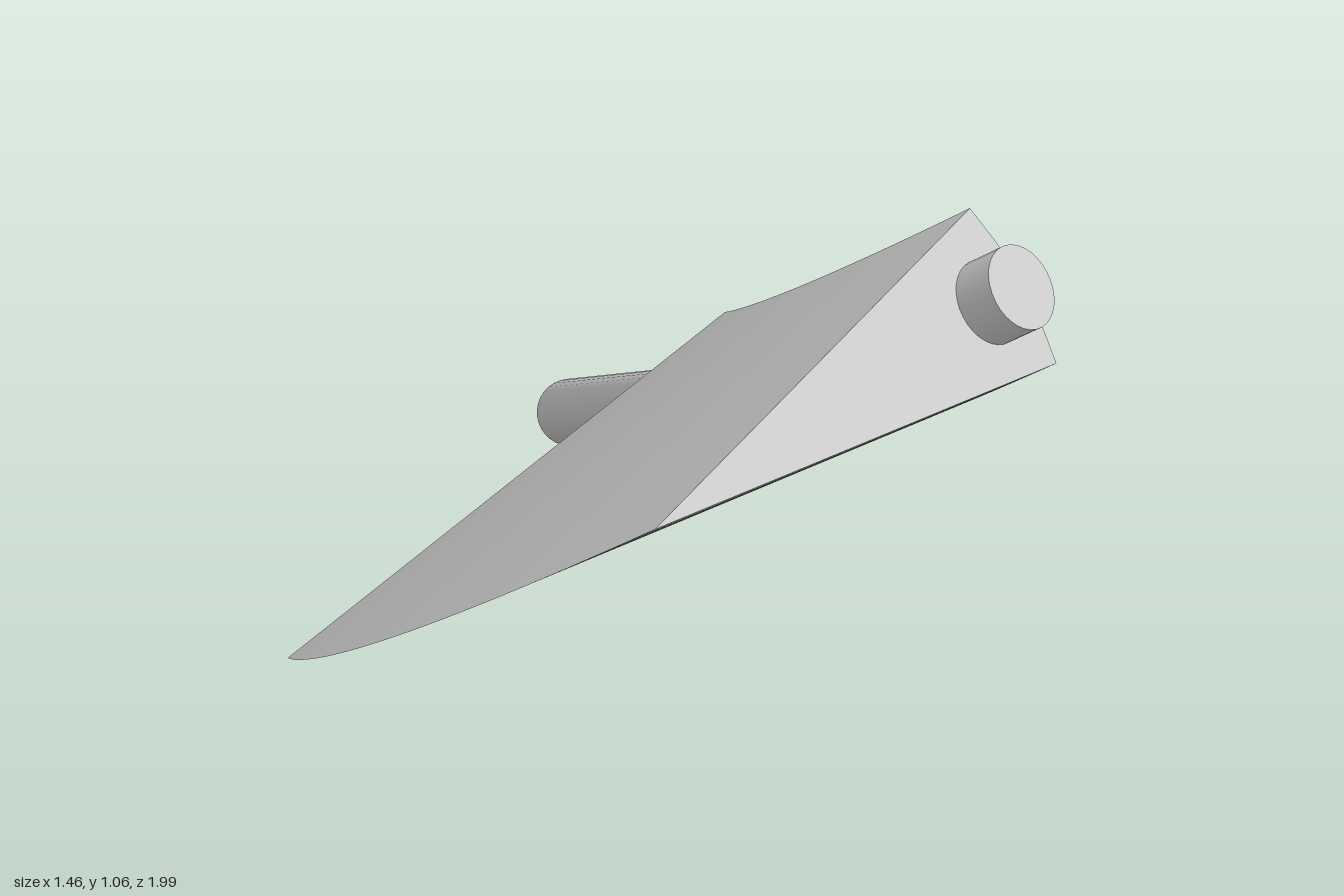
import * as THREE from 'three';
import { toCreasedNormals } from 'three/addons/utils/BufferGeometryUtils.js';

const grey = new THREE.MeshStandardMaterial({ color: 0xcccccc });

// The head is a wedge section swept round this centre, in the axe's own flat plane
const CX = 1.241, CZ = -0.677;
const START = THREE.MathUtils.degToRad(135), END = THREE.MathUtils.degToRad(98);
const R_BACK = 1.015, R_EDGE = 1.69, R_SHAFT = 1.064, HALF = 0.1, BULGE = 0.015;

const onArc = (r, a, y = 0) => new THREE.Vector3(CX + r * Math.cos(a), y, CZ + r * Math.sin(a));

// Wedge with a sharp cutting edge and a slightly rounded back
function headGeometry() {
  const section = [[R_EDGE, 0]];
  for (let i = 0; i <= 4; i++) {
    const s = 1 - i / 2;
    section.push([R_BACK - BULGE * (1 - s * s), HALF * s]);
  }
  const n = section.length, rings = 24, pos = [], index = [];
  for (let j = 0; j <= rings; j++) {
    const a = END + (START - END) * j / rings;
    for (const [r, y] of section) pos.push(...onArc(r, a, y).toArray());
  }
  for (let j = 0; j < rings; j++) {
    for (let i = 0; i < n; i++) {
      const a = j * n + i, b = j * n + (i + 1) % n;
      index.push(a, b, a + n, b, b + n, a + n);
    }
  }
  // Flat end faces
  const last = rings * n;
  for (let i = 1; i < n - 1; i++) {
    index.push(0, i + 1, i, last, last + i, last + i + 1);
  }
  const g = new THREE.BufferGeometry();
  g.setAttribute('position', new THREE.Float32BufferAttribute(pos, 3));
  g.setIndex(index);
  return toCreasedNormals(g, 0.5);
}

// Round rod leaving an end face squarely; dir is +1 or -1 along the arc
function rod(name, angle, dir, length, radius) {
  const axis = new THREE.Vector3(-Math.sin(angle), 0, Math.cos(angle)).multiplyScalar(dir);
  const inset = 0.04;
  const mesh = new THREE.Mesh(new THREE.CylinderGeometry(radius, radius, length + inset, 32), grey);
  mesh.name = name;
  mesh.quaternion.setFromUnitVectors(new THREE.Vector3(0, 1, 0), axis);
  mesh.position.copy(onArc(R_SHAFT, angle)).addScaledVector(axis, (length - inset) / 2);
  return mesh;
}

export function createModel() {
  const axe = new THREE.Group();
  axe.name = 'axe';

  const head = new THREE.Mesh(headGeometry(), grey);
  head.name = 'axeHead';
  axe.add(head);

  axe.add(rod('handle', START, 1, 1.46, 0.05));
  axe.add(rod('handleTip', END, -1, 0.053, 0.05));

  // Lean the flat plane of the axe
  const tilt = THREE.MathUtils.degToRad(34.5);
  axe.rotation.z = tilt;
  axe.position.set(-0.431 * Math.sin(tilt), 0.431 * Math.cos(tilt), 0);

  const model = new THREE.Group();
  model.add(axe);
  return model;
}
